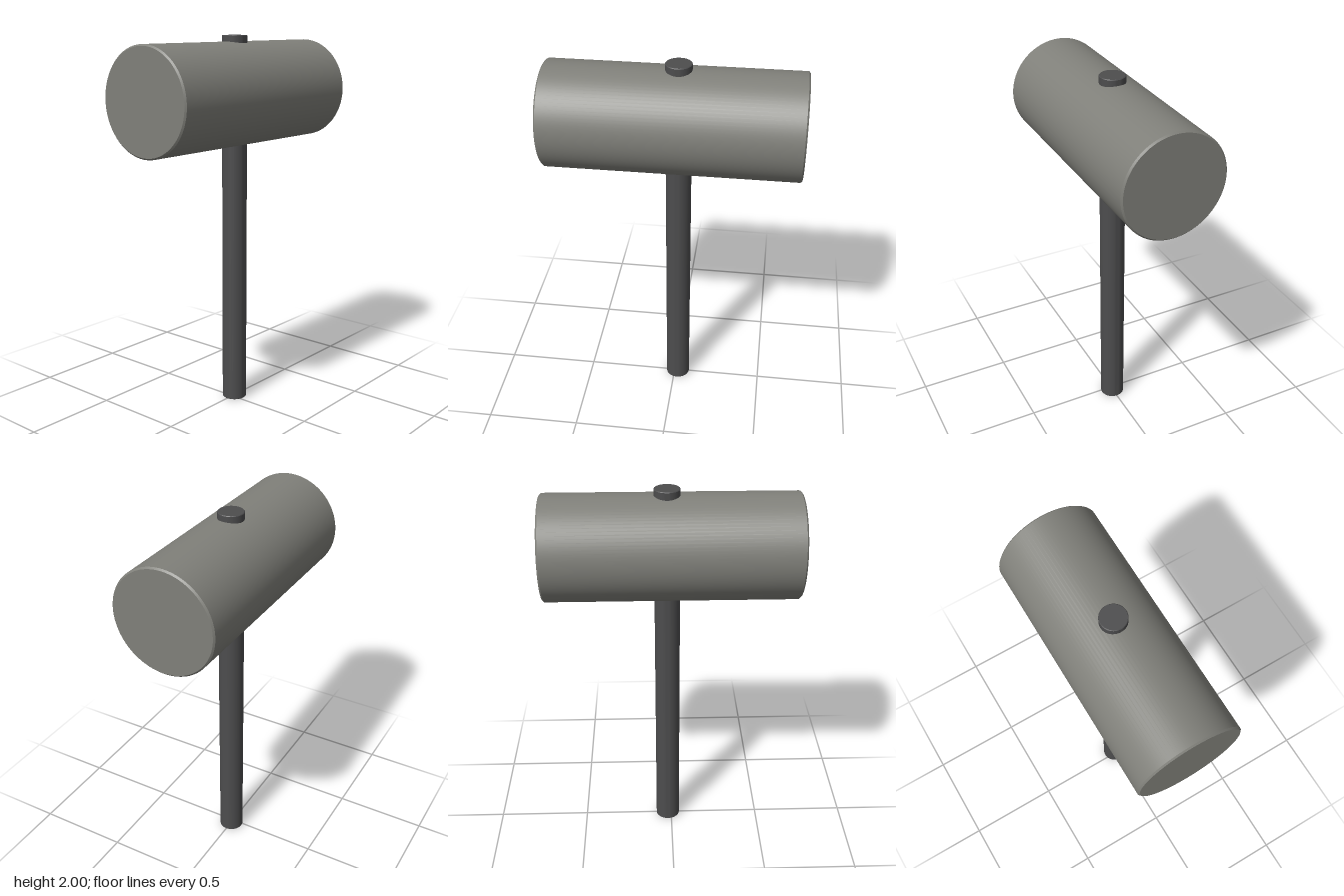
import * as THREE from 'three';
import { toCreasedNormals } from 'three/addons/utils/BufferGeometryUtils.js';

// Solid round bar along y with small chamfers at both ends
function roundBar(radius, length, chamfer, segments) {
  const h = length / 2;
  const profile = [
    [0, -h], [radius - chamfer, -h], [radius, -h + chamfer],
    [radius, h - chamfer], [radius - chamfer, h], [0, h],
  ].map(([x, y]) => new THREE.Vector2(x, y));
  return toCreasedNormals(new THREE.LatheGeometry(profile, segments), 0.5);
}

export function createModel() {
  const model = new THREE.Group();
  model.name = 'mallet';

  const headGrey = new THREE.MeshStandardMaterial({ color: 0x80807a });
  headGrey.name = 'warm grey';
  const handleGrey = new THREE.MeshStandardMaterial({ color: 0x4d4d4e });
  handleGrey.name = 'dark grey';

  // Head: barrel lying along z
  const head = new THREE.Mesh(roundBar(0.27, 1.29, 0.008, 96), headGrey);
  head.name = 'head';
  head.rotation.x = Math.PI / 2;
  head.position.y = 1.698;
  model.add(head);

  // Handle: passes through the head, slightly behind its middle
  const handle = new THREE.Mesh(roundBar(0.066, 2, 0.003, 48), handleGrey);
  handle.name = 'handle';
  handle.position.set(0, 1, -0.02);
  model.add(handle);

  return model;
}
